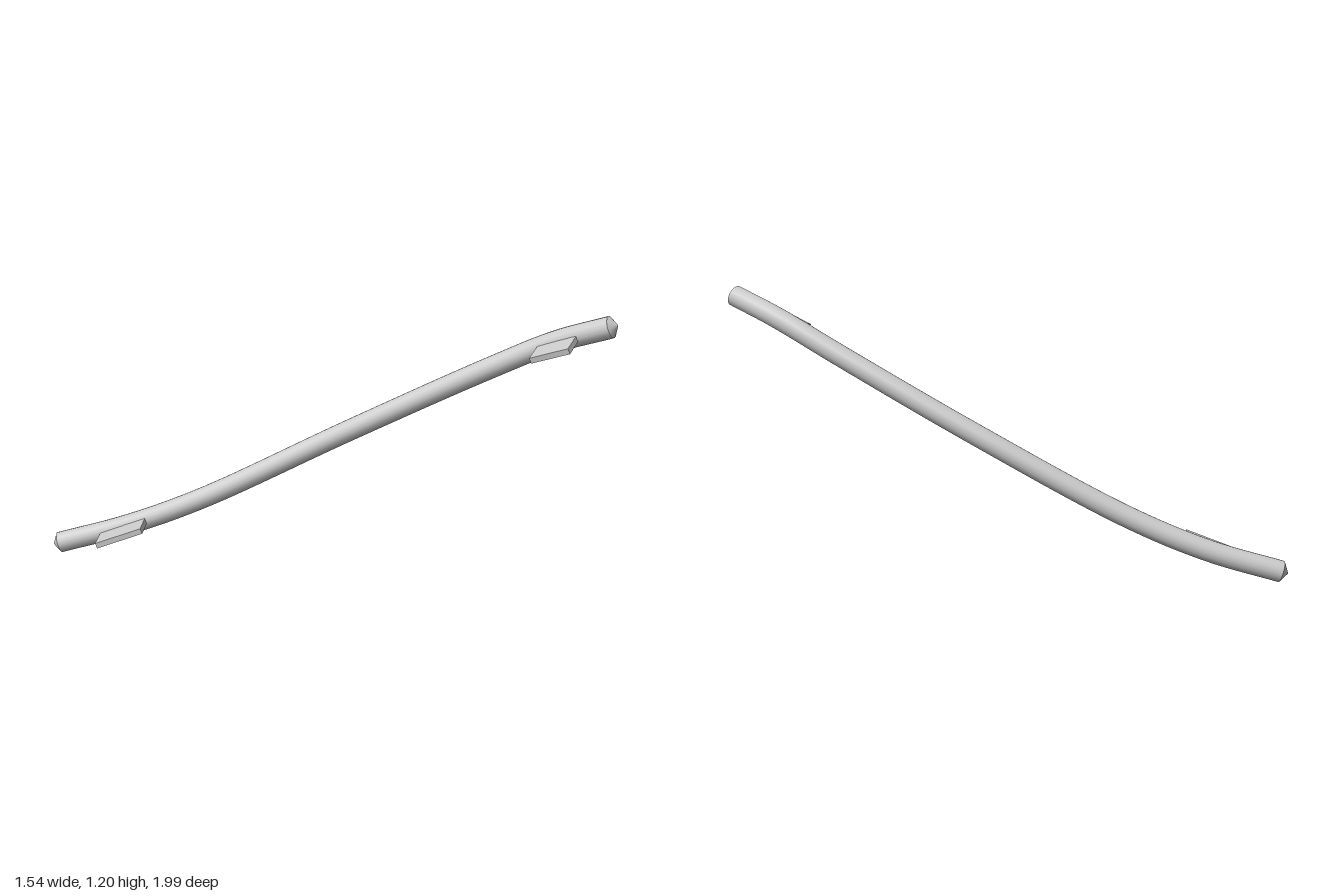
import * as THREE from 'three';

const material = new THREE.MeshStandardMaterial({ color: 0xcccccc });
const RADIUS = 0.047;
const SIDES = 16;
const V = (x, y, z) => new THREE.Vector3(x, y, z);

// Flat plate: outer edge from a to b, reaching inwards along the given vector
function mountingPlate(name, a, b, inward, thickness) {
  const along = b.clone().sub(a);
  const normal = along.clone().cross(inward).normalize();
  if (normal.y < 0) normal.negate();
  const side = normal.clone().cross(inward).normalize();
  const geometry = new THREE.BoxGeometry(along.length(), thickness, inward.length());
  geometry.applyMatrix4(new THREE.Matrix4().makeBasis(side, normal, side.clone().cross(normal)));
  const mesh = new THREE.Mesh(geometry, material);
  mesh.position.copy(a).add(b).addScaledVector(inward, 1).multiplyScalar(0.5);
  mesh.name = name;
  return mesh;
}

export function createModel() {
  const group = new THREE.Group();
  group.name = 'curvedRail';

  // Bowed rail
  const path = new THREE.CatmullRomCurve3([
    V(-0.742, 0.055, -0.965),
    V(-0.515, 0.143, -0.75),
    V(-0.28, 0.28, -0.5),
    V(0.155, 0.622, 0),
    V(0.505, 0.94, 0.5),
    V(0.64, 1.08, 0.75),
    V(0.722, 1.165, 0.967),
  ]);
  const rail = new THREE.Mesh(new THREE.TubeGeometry(path, 48, RADIUS, SIDES), material);
  rail.name = 'rail';
  group.add(rail);

  // Blunt pointed end caps
  for (const [t, sign, name] of [[0, -1, 'lowerEndCap'], [1, 1, 'upperEndCap']]) {
    const geometry = new THREE.ConeGeometry(RADIUS, 0.03, SIDES, 1, true);
    geometry.translate(0, 0.015, 0);
    const cap = new THREE.Mesh(geometry, material);
    cap.position.copy(path.getPointAt(t));
    cap.quaternion.setFromUnitVectors(V(0, 1, 0), path.getTangentAt(t).multiplyScalar(sign));
    cap.name = name;
    group.add(cap);
  }

  // Mounting plates running into the rail
  group.add(
    mountingPlate('upperMountingPlate', V(0.465, 1.025, 0.76), V(0.53, 1.085, 0.91), V(0.15, 0.035, -0.07), 0.025),
    mountingPlate('lowerMountingPlate', V(-0.715, 0.1, -0.71), V(-0.57, 0.175, -0.565), V(0.125, 0.006, -0.125), 0.025),
  );
  return group;
}
